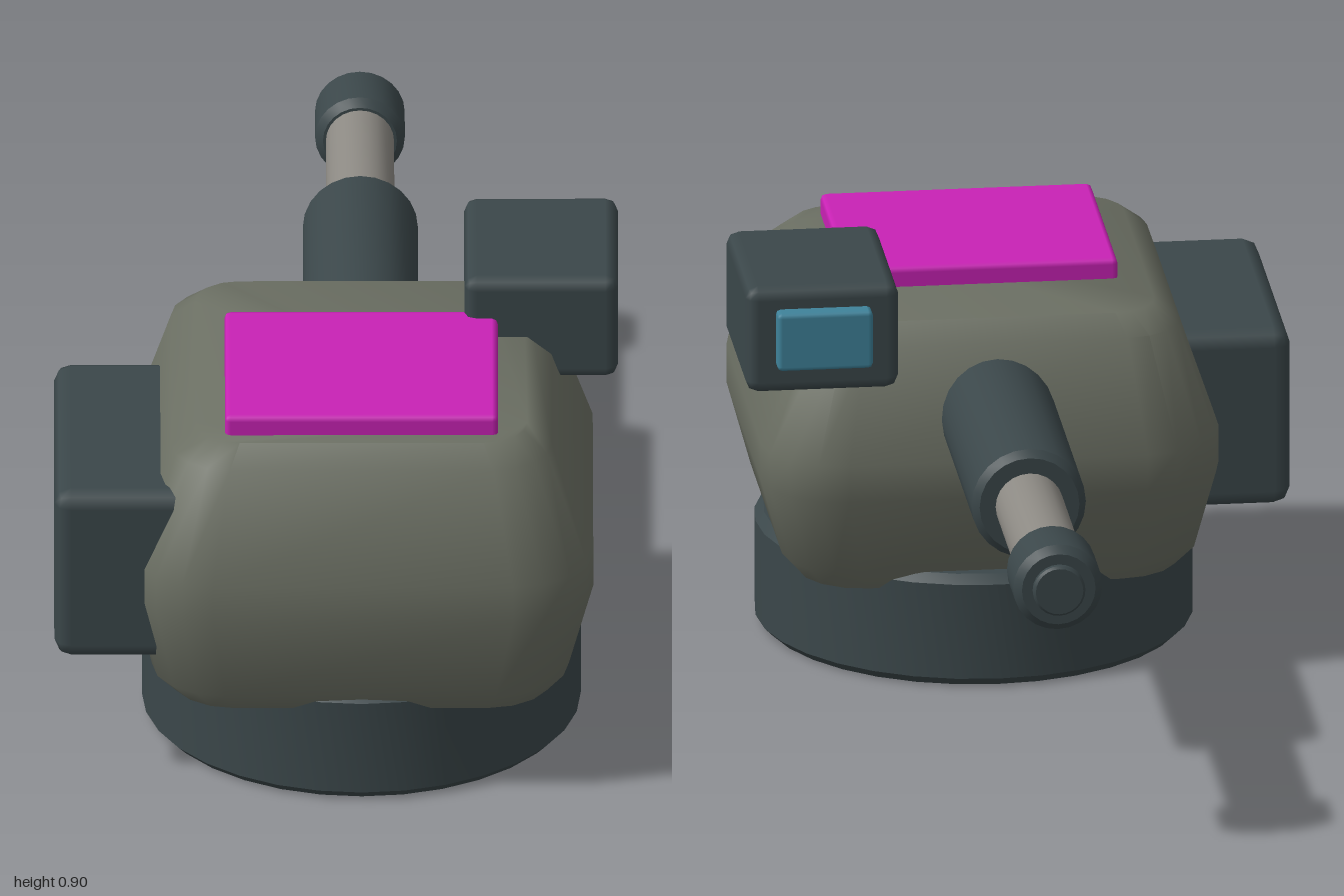
import * as THREE from 'three';
import { RoundedBoxGeometry } from 'three/addons/geometries/RoundedBoxGeometry.js';
import { toCreasedNormals } from 'three/addons/utils/BufferGeometryUtils.js';

const paint = (name, color) => {
  const m = new THREE.MeshStandardMaterial({ color });
  m.name = name;
  return m;
};

// Bevelled solid of revolution from y0 to y1
function bevelledCylinder(r, y0, y1, bevel, sides) {
  const profile = [[0, y0], [r - bevel, y0], [r, y0 + bevel], [r, y1 - bevel], [r - bevel, y1], [0, y1]]
    .map(([x, y]) => new THREE.Vector2(x, y));
  return toCreasedNormals(new THREE.LatheGeometry(profile, sides), 0.6);
}

// Closed loft through rounded-rectangle sections [y, x0, x1, z0, z1, corner radius]
function loftSections(sections, cornerSteps) {
  const pos = [], index = [];
  const n = 4 * (cornerSteps + 1);
  for (const [y, x0, x1, z0, z1, r] of sections) {
    const centres = [[x1 - r, z1 - r], [x0 + r, z1 - r], [x0 + r, z0 + r], [x1 - r, z0 + r]];
    centres.forEach(([cx, cz], q) => {
      for (let i = 0; i <= cornerSteps; i++) {
        const a = (q + i / cornerSteps) * Math.PI / 2;
        pos.push(cx + r * Math.cos(a), y, cz + r * Math.sin(a));
      }
    });
  }
  for (let s = 0; s < sections.length - 1; s++) {
    for (let i = 0; i < n; i++) {
      const a = s * n + i, b = s * n + (i + 1) % n;
      index.push(a, a + n, b, b, a + n, b + n);
    }
  }
  // End caps as fans
  const last = (sections.length - 1) * n;
  for (let i = 1; i < n - 1; i++) {
    index.push(0, i, i + 1);
    index.push(last, last + i + 1, last + i);
  }
  const g = new THREE.BufferGeometry();
  g.setAttribute('position', new THREE.Float32BufferAttribute(pos, 3));
  g.setIndex(index);
  return toCreasedNormals(g, 0.7);
}

export function createModel() {
  const model = new THREE.Group();
  model.name = 'turret';
  const dark = paint('dark slate', 0x3b474a);
  const armour = paint('olive grey', 0x6b6f63);
  const steel = paint('warm steel', 0x8c8983);
  const magenta = paint('magenta', 0xc922b5);
  const glass = paint('blue glass', 0x3f839b);

  const add = (name, geometry, material, x = 0, y = 0, z = 0) => {
    const mesh = new THREE.Mesh(geometry, material);
    mesh.name = name;
    mesh.position.set(x, y, z);
    model.add(mesh);
    return mesh;
  };
  // Bevelled box given by its limits on each axis
  const addBox = (name, material, [x0, x1], [y0, y1], [z0, z1], bevel) =>
    add(name, new RoundedBoxGeometry(x1 - x0, y1 - y0, z1 - z0, 1, bevel), material,
      (x0 + x1) / 2, (y0 + y1) / 2, (z0 + z1) / 2);

  // Base ring and faceted turret body
  add('base', bevelledCylinder(0.45, 0, 0.24, 0.018, 32), dark, 0.05, 0, 0.53);
  add('body', loftSections([
    [0.2, -0.34, 0.44, 0.15, 0.955, 0.13],
    [0.24, -0.38, 0.475, 0.125, 0.98, 0.15],
    [0.42, -0.42, 0.525, 0.06, 0.998, 0.165],
    [0.5, -0.42, 0.525, 0.055, 0.998, 0.165],
    [0.735, -0.34, 0.44, 0.115, 0.93, 0.12],
    [0.775, -0.29, 0.39, 0.16, 0.885, 0.09],
  ], 4), armour);

  // Hatch, side pack and sight
  addBox('roofHatch', magenta, [-0.23, 0.33], [0.755, 0.817], [0.37, 0.85], 0.012);
  addBox('sidePack', dark, [-0.58, -0.285], [0.288, 0.67], [0.3, 0.915], 0.035);
  addBox('sightHousing', dark, [0.262, 0.577], [0.675, 0.904], [0.02, 0.41], 0.026);
  addBox('sightLens', glass, [0.32, 0.517], [0.735, 0.86], [-0.015, 0.04], 0.01);

  // Gun pieces along -z: radius, start, end, bevel
  const gun = [
    ['barrelSleeve', dark, 0.118, -0.3, 0.466, 0.015],
    ['barrelTube', steel, 0.07, 0.44, 0.86, 0.005],
    ['muzzle', dark, 0.092, 0.838, 0.985, 0.016],
    ['muzzleTip', dark, 0.054, 0.95, 1.0, 0.005],
  ];
  for (const [name, material, r, start, end, bevel] of gun) {
    add(name, bevelledCylinder(r, start, end, bevel, 24), material, 0.05, 0.585, 0).rotation.x = -Math.PI / 2;
  }
  return model;
}
